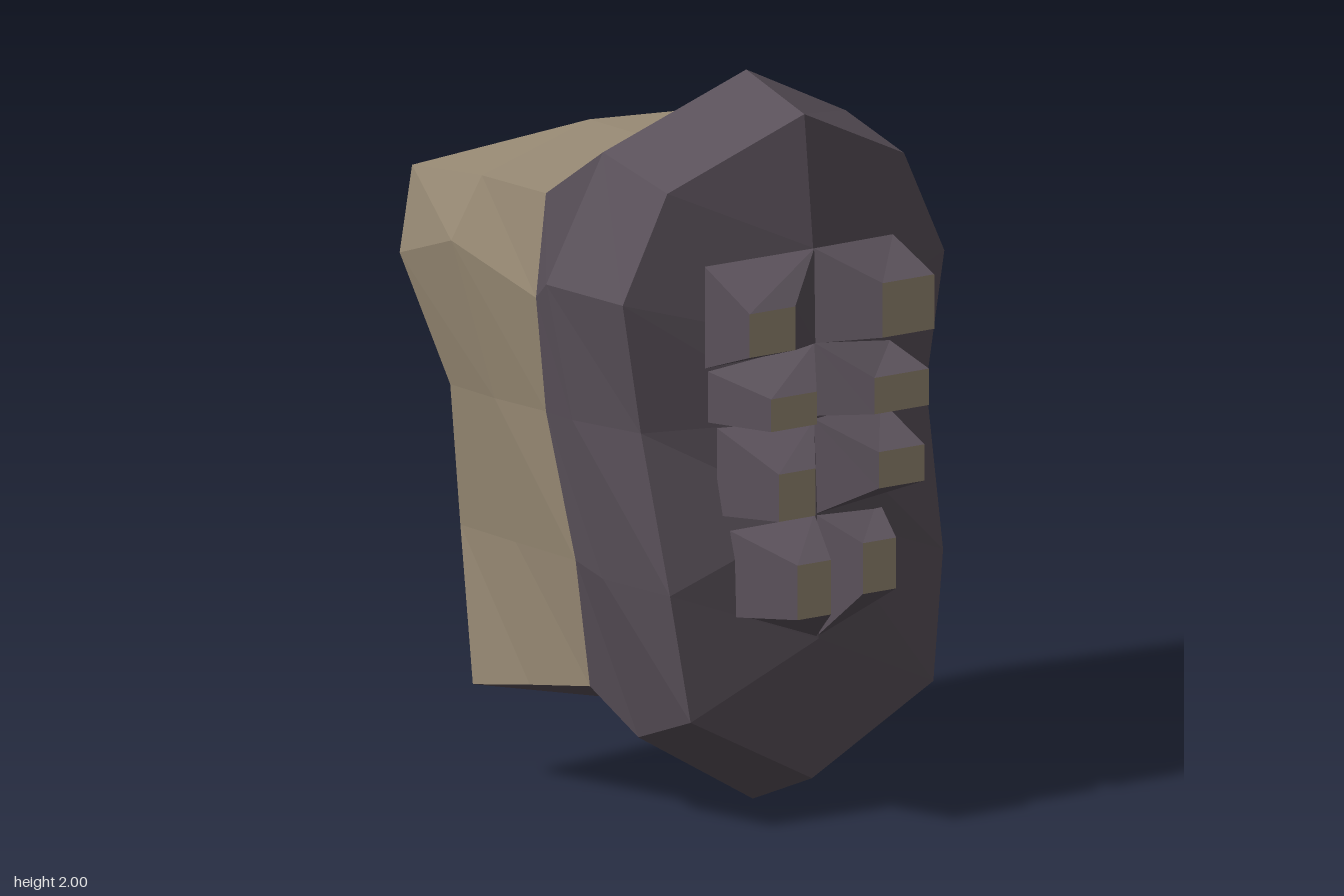
import * as THREE from 'three';

const mat = (name, color) => new THREE.MeshStandardMaterial({ name, color, flatShading: true });

// Flat-faced mesh from quads (corners counter-clockwise seen from outside)
function quadMesh(name, quads, material) {
  const pos = [];
  for (const [a, b, c, d] of quads) pos.push(...a, ...b, ...c, ...a, ...c, ...d);
  const geo = new THREE.BufferGeometry();
  geo.setAttribute('position', new THREE.Float32BufferAttribute(pos, 3));
  geo.computeVertexNormals();
  const mesh = new THREE.Mesh(geo, material);
  mesh.name = name;
  return mesh;
}

const flip = ([x, y, z]) => [-x, y, z];
const mirrorQuads = (quads) => quads.flatMap((q) => [q, q.map(flip).reverse()]);
const lerp = (a, b, t) => a.map((v, i) => v + (b[i] - v) * t);

// Skin over half rings ordered front to back, each running top to bottom
function skin(rings, from, to) {
  const quads = [];
  for (let r = 0; r < rings.length - 1; r++)
    for (let i = from; i < to; i++)
      quads.push([rings[r][i], rings[r][i + 1], rings[r + 1][i + 1], rings[r + 1][i]]);
  return quads;
}

// Cap between a half ring and its centre column of [y, z]
function cap(ring, centre, back) {
  const quads = [];
  for (let i = 0; i < ring.length - 1; i++) {
    const q = [[0, ...centre[i]], [0, ...centre[i + 1]], ring[i + 1], ring[i]];
    quads.push(back ? q.reverse() : q);
  }
  return quads;
}

export function createModel() {
  const purple = mat('dusky purple', 0x5a515a);
  const tan = mat('tan', 0x9a8c76);
  const group = new THREE.Group();
  group.name = 'torso';

  // Front plate: front edge, widest edge, back edge
  const seam = [[0, 1.73, 0], [0.53, 1.7, -0.07], [0.57, 1.42, -0.06], [0.53, 1.1, -0.07],
    [0.49, 0.7, 0.01], [0.45, 0.35, 0.02], [0, 0.25, 0.02]];
  const plate = [
    [[0, 1.93, 0.375], [0.39, 1.75, 0.29], [0.53, 1.46, 0.28], [0.47, 1.1, 0.28],
      [0.45, 0.67, 0.385], [0.4, 0.32, 0.41], [0, 0.11, 0.41]],
    [[0, 2, 0.11], [0.4, 1.81, 0.01], [0.58, 1.47, 0], [0.53, 1.1, 0.05],
      [0.48, 0.67, 0.12], [0.37, 0.22, 0.13], [0, 0, 0.14]],
    seam,
  ];
  const plateCentre = [[1.93, 0.375], [1.57, 0.415], [1.31, 0.42], [1.1, 0.42],
    [0.84, 0.43], [0.5, 0.44], [0.11, 0.41]];
  group.add(quadMesh('frontPlate',
    mirrorQuads([...skin(plate, 0, 6), ...cap(plate[0], plateCentre, false)]), purple));

  // Back block with a dark underside
  const block = [
    seam,
    [[0, 1.725, -0.3], [0.575, 1.71, -0.3], [0.64, 1.53, -0.35], [0.555, 1.1, -0.27],
      [0.5, 0.7, -0.25], [0.475, 0.31, -0.22], [0, 0.2, -0.22]],
    [[0, 1.72, -0.605], [0.61, 1.69, -0.57], [0.64, 1.45, -0.585], [0.56, 1.1, -0.465],
      [0.505, 0.7, -0.495], [0.5, 0.27, -0.445], [0, 0.15, -0.5]],
  ];
  const blockCentre = [[1.72, -0.605], [1.64, -0.64], [1.4, -0.62], [1.1, -0.56],
    [0.7, -0.505], [0.4, -0.5], [0.15, -0.5]];
  group.add(quadMesh('backBlock',
    mirrorQuads([...skin(block, 0, 5), ...cap(block[2], blockCentre, true)]), tan));
  group.add(quadMesh('underside', mirrorQuads(skin(block, 5, 6)), purple));

  // Studs: base [inner top, inner bottom, outer top, outer bottom, outer x],
  // tips [inner x, outer x, bottom, top, z], side patch [start, end, low, high]
  const rows = [
    { base: [1.57, 1.31, 1.55, 1.27, 0.31], patch: [0.2, 0.9, 0.35, 0.75],
      left: [0.11, 0.28, 1.34, 1.49, 0.58], right: [0.16, 0.31, 1.34, 1.46, 0.555] },
    { base: [1.31, 1.11, 1.26, 1.12, 0.3], patch: [0.2, 0.85, 0.05, 0.35],
      left: [0.09, 0.27, 1.13, 1.23, 0.57], right: [0.1, 0.25, 1.13, 1.22, 0.57] },
    { base: [1.1, 0.84, 1.1, 0.86, 0.27], patch: [0.85, 1, 0.3, 0.8],
      left: [0.09, 0.24, 0.93, 1.03, 0.59], right: [0.13, 0.25, 0.89, 1.02, 0.605] },
    { base: [0.84, 0.5, 0.83, 0.58, 0.26], patch: [0.8, 1, 0.3, 0.8],
      left: [0.03, 0.14, 0.65, 0.79, 0.6], right: [0.1, 0.21, 0.62, 0.77, 0.635] },
  ];
  rows.forEach(({ base, patch, left, right }) => {
    const [it, ib, ot, ob, ox] = base;
    const root = [[0, it, 0.42], [0, ib, 0.425], [ox, ob, 0.35], [ox, ot, 0.35]];
    for (const [side, t] of [['left', left], ['right', right]]) {
      const [x0, x1, y0, y1, z] = t;
      const tip = [[x0, y1, z], [x0, y0, z], [x1, y0, z], [x1, y1, z]];
      const place = (quads) => (side === 'left' ? quads : quads.map((q) => q.map(flip).reverse()));
      const sides = root.map((p, i) => [p, root[(i + 1) % 4], tip[(i + 1) % 4], tip[i]]);
      group.add(quadMesh(side + 'Stud', place(sides), purple));
      group.add(quadMesh(side + 'StudTip', place([tip]), tan));
      if (side === 'left') {
        // Worn patch on the outer face
        const [s0, s1, v0, v1] = patch;
        const at = (s, v) => {
          const p = lerp(lerp(root[2], tip[2], s), lerp(root[3], tip[3], s), v);
          return [p[0] + 0.005, p[1], p[2]];
        };
        group.add(quadMesh('studPatch', [[at(s0, v0), at(s0, v1), at(s1, v1), at(s1, v0)]], tan));
      }
    }
  });
  return group;
}
